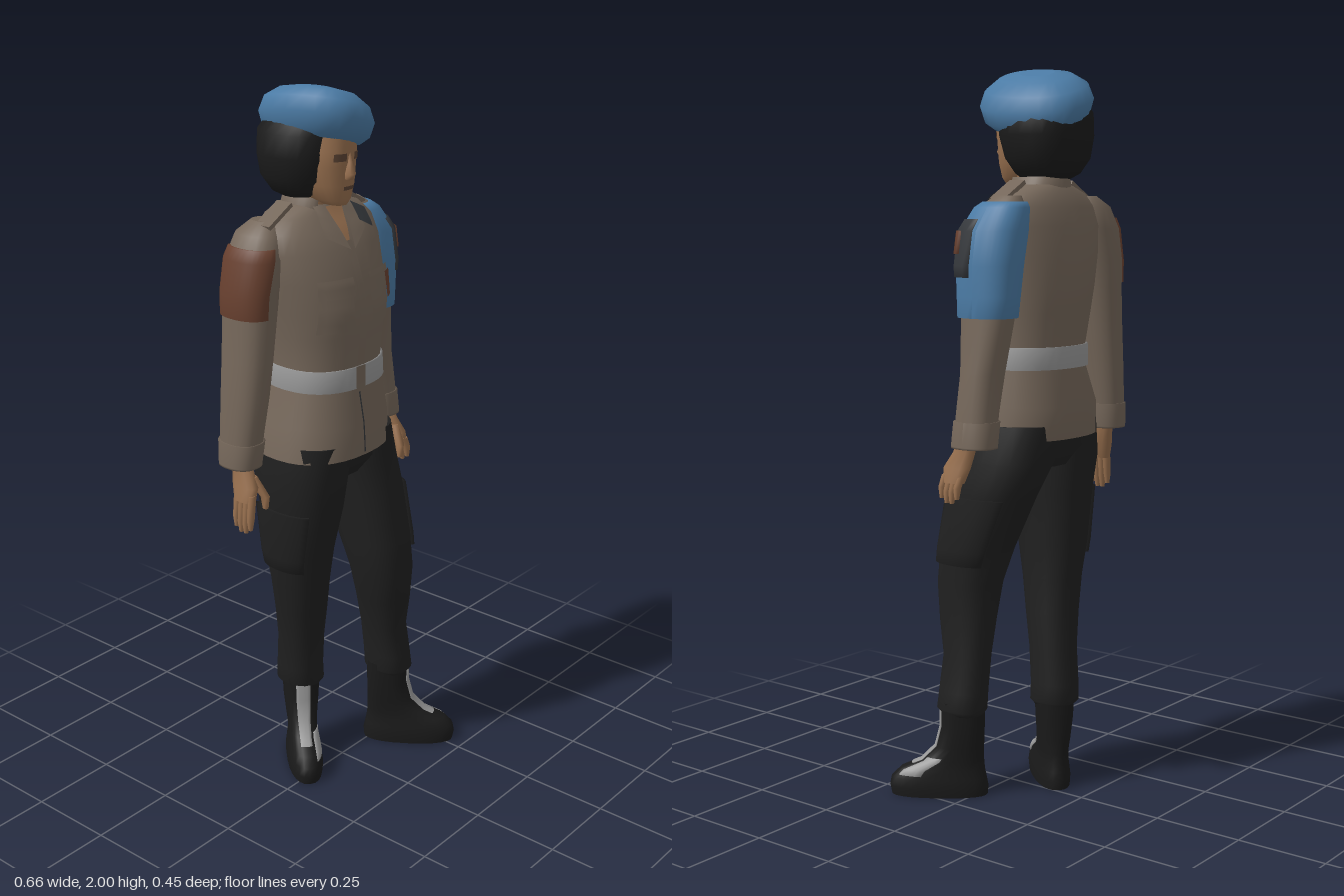
import * as THREE from 'three';

const mat = (name, color, side = THREE.FrontSide) => {
  const m = new THREE.MeshStandardMaterial({ color, side });
  m.name = name;
  return m;
};
const M = {
  khaki: mat('khaki cloth', 0x75675a, THREE.DoubleSide),
  black: mat('black cloth', 0x202020, THREE.DoubleSide),
  boot: mat('boot leather', 0x1a1a1a),
  hair: mat('black hair', 0x1b1b1b),
  blue: mat('blue cloth', 0x4b7ba5, THREE.DoubleSide),
  skin: mat('skin', 0x98704f, THREE.DoubleSide),
  shade: mat('dark skin', 0x5c4434, THREE.DoubleSide),
  grey: mat('light grey', 0x999999, THREE.DoubleSide),
  red: mat('rust red', 0x68402f, THREE.DoubleSide),
  slate: mat('dark slate', 0x35383c, THREE.DoubleSide),
};
const P = 0.85; // roundness of the cross-sections
const sp = v => Math.sign(v) * Math.abs(v) ** P;
const RAD = Math.PI / 180;

// A ring is [y, xMin, xMax, zMin, zMax]; rings run upwards.
function point([y, x0, x1, z0, z1], t, off = 0) {
  return [(x0 + x1) / 2 + ((x1 - x0) / 2 + off) * sp(Math.cos(t)), y,
    (z0 + z1) / 2 + ((z1 - z0) / 2 + off) * sp(Math.sin(t))];
}
function ringAt(rings, y) {
  let i = 0;
  while (i < rings.length - 2 && y > rings[i + 1][0]) i++;
  const a = rings[i], b = rings[i + 1];
  const k = Math.min(1, Math.max(0, (y - a[0]) / (b[0] - a[0])));
  return a.map((v, j) => (j ? v + (b[j] - v) * k : y));
}
function toMesh(name, material, pos, idx) {
  const g = new THREE.BufferGeometry();
  g.setAttribute('position', new THREE.Float32BufferAttribute(pos, 3));
  g.setIndex(idx);
  g.computeVertexNormals();
  const m = new THREE.Mesh(g, material);
  m.name = name;
  return m;
}
// Closed, capped skin through the rings
function loft(name, material, rings, seg = 22, warp = p => p) {
  const pos = [], idx = [], n = rings.length;
  const add = p => pos.push(...warp(p));
  const row = r => { for (let j = 0; j < seg; j++) add(point(r, j / seg * 2 * Math.PI)); };
  rings.forEach(row);
  for (let i = 0; i < n - 1; i++) for (let j = 0; j < seg; j++) {
    const a = i * seg + j, b = i * seg + (j + 1) % seg;
    idx.push(a, a + seg, b, b, a + seg, b + seg);
  }
  [rings[0], rings[n - 1]].forEach((r, top) => {
    const s = pos.length / 3;
    row(r);
    add([(r[1] + r[2]) / 2, r[0], (r[3] + r[4]) / 2]);
    for (let j = 0; j < seg; j++) {
      const a = s + j, b = s + (j + 1) % seg;
      idx.push(s + seg, top ? b : a, top ? a : b);
    }
  });
  return toMesh(name, material, pos, idx);
}
// Raised band following a loft between two heights and two angles (0 = left, 90 = front)
function band(name, material, rings, y0, y1, a0 = 0, a1 = 360, off = 0.006) {
  const full = a1 - a0 >= 360, seg = Math.ceil((a1 - a0) / 10);
  const ys = [y0, y0, ...rings.map(r => r[0]).filter(y => y > y0 && y < y1), y1, y1];
  const pos = [], idx = [], w = seg + 3;
  ys.forEach((y, i) => {
    for (let j = 0; j < w; j++) {
      const t = a0 + (a1 - a0) * Math.min(seg, Math.max(0, j - 1)) / seg;
      const rim = i === 0 || i === ys.length - 1 || (!full && (j === 0 || j === w - 1));
      pos.push(...point(ringAt(rings, y), t * RAD, rim ? -0.002 : off));
      if (i && j) {
        const b = (i - 1) * w + j, a = b - 1;
        idx.push(a, a + w, b, b, a + w, b + w);
      }
    }
  });
  return toMesh(name, material, pos, idx);
}
// Four-cornered plate laid on the front (bottom left, bottom right, top right, top left)
function plate(name, material, rings, q, off = 0.006) {
  const pos = [], idx = [], n = 6, mix = (a, b, k) => a + (b - a) * k;
  for (let i = 0; i <= n; i++) for (let j = 0; j <= n; j++) {
    const [x, y] = [0, 1].map(c => mix(mix(q[0][c], q[1][c], j / n), mix(q[3][c], q[2][c], j / n), i / n));
    const [, x0, x1, z0, z1] = ringAt(rings, y);
    const u = Math.min(0.97, Math.abs((x - (x0 + x1) / 2) / ((x1 - x0) / 2)));
    const s = Math.sqrt(1 - u ** (2 / P));
    pos.push(x, y, (z0 + z1) / 2 + (z1 - z0) / 2 * s ** P + off);
    if (i && j) {
      const d = i * (n + 1) + j, b = d - n - 1;
      idx.push(b - 1, b, d - 1, b, d, d - 1);
    }
  }
  return toMesh(name, material, pos, idx);
}
const rect = (x0, x1, y0, y1) => [[x0, y0], [x1, y0], [x1, y1], [x0, y1]];

const TORSO = [[1.01, -.21, .18, -.22, .1], [1.1, -.195, .175, -.228, .095], [1.2, -.163, .158, -.205, .077],
  [1.26, -.16, .155, -.205, .075], [1.35, -.172, .163, -.218, .083], [1.42, -.185, .17, -.225, .085],
  [1.5, -.2, .18, -.225, .07], [1.58, -.212, .19, -.215, .042], [1.63, -.2, .185, -.2, .012],
  [1.665, -.165, .15, -.185, -.015], [1.69, -.1, .075, -.165, -.03]];
const ARM = {
  right: [[1.01, -.328, -.235, -.18, -.07], [1.1, -.325, -.225, -.185, -.06], [1.2, -.318, -.21, -.188, -.05],
    [1.3, -.31, -.197, -.19, -.045], [1.4, -.3, -.18, -.195, -.045], [1.48, -.297, -.165, -.2, -.045],
    [1.57, -.282, -.14, -.2, -.04], [1.63, -.245, -.13, -.19, -.06], [1.66, -.2, -.145, -.16, -.09]],
  left: [[1.01, .225, .322, -.15, -.035], [1.1, .21, .315, -.15, -.04], [1.2, .19, .305, -.155, -.045],
    [1.34, .17, .287, -.175, -.03], [1.4, .165, .285, -.18, -.025], [1.48, .155, .285, -.185, -.02],
    [1.57, .14, .275, -.19, -.025], [1.63, .13, .238, -.18, -.05], [1.66, .14, .2, -.16, -.09]],
};
const LEG = {
  right: [[.235, -.1, -.005, -.17, -.06], [.25, -.115, .01, -.185, -.05], [.3, -.117, .006, -.182, -.05],
    [.4, -.125, 0, -.17, -.04], [.5, -.145, -.005, -.165, -.02], [.6, -.165, -.012, -.165, 0],
    [.7, -.185, -.01, -.175, .02], [.85, -.203, -.005, -.185, .06], [.95, -.213, .005, -.2, .075], [1.05, -.2, .005, -.2, .08]],
  left: [[.235, .125, .22, -.025, .095], [.25, .112, .232, -.035, .108], [.3, .11, .225, -.036, .105],
    [.4, .095, .21, -.035, .1], [.5, .07, .208, -.04, .12], [.6, .04, .205, -.045, .135],
    [.7, .025, .21, -.08, .125], [.85, .01, .212, -.15, .1], [.95, -.005, .203, -.2, .085], [1.05, -.01, .18, -.2, .08]],
};
const BOOT = [[0, -.05, .05, -.07, .2], [.025, -.052, .052, -.072, .205], [.05, -.049, .049, -.067, .2],
  [.075, -.045, .045, -.062, .175], [.1, -.042, .042, -.06, .115], [.14, -.046, .046, -.06, .075],
  [.2, -.052, .052, -.062, .06], [.27, -.055, .055, -.063, .06]];
const FACE = [[1.695, -.055, -.005, -.04, .032], [1.71, -.075, .012, -.08, .04], [1.75, -.095, .035, -.13, .044],
  [1.8, -.104, .044, -.15, .046], [1.84, -.104, .044, -.15, .05], [1.9, -.1, .04, -.15, .04]];
const HAIR = [[1.695, -.07, .03, -.15, -.06], [1.72, -.115, .06, -.19, -.025], [1.76, -.143, .085, -.215, .002],
  [1.82, -.153, .1, -.225, .016], [1.88, -.148, .098, -.225, .02], [1.92, -.12, .075, -.2, .01]];
const BERET = [[1.85, -.115, .075, -.2, .045], [1.87, -.13, .095, -.225, .07], [1.91, -.138, .105, -.237, .083],
  [1.95, -.125, .095, -.222, .068], [1.978, -.09, .06, -.18, .03], [1.988, -.05, .02, -.13, -.03]];

function makeHand(side) {
  const g = new THREE.Group();
  g.name = side + 'Hand';
  const s = side === 'left' ? 1 : -1, z = side === 'left' ? 0 : -.055, drop = side === 'left' ? 0 : -.035;
  const ring = (y, x0, x1, z0, z1) => [y, ...(s > 0 ? [x0, x1] : [-x1, -x0]), z0 + z, z1 + z];
  g.add(loft('palm', M.skin, [ring(.91, .28, .317, -.075, -.008), ring(.95, .268, .31, -.088, -.005),
    ring(.99, .26, .3, -.095, -.03), ring(1.04, .255, .3, -.105, -.055)], 12));
  for (let i = 0; i < 4; i++) { // four fingers
    const c = -.066 + i * .017, tip = .85 + Math.abs(i - 1.5) * .012 + drop;
    g.add(loft('finger', M.skin, [ring(tip, .305, .316, c - .002, c + .01), ring(tip + .03, .298, .32, c - .006, c + .013),
      ring(.93, .285, .31, c - .01, c + .01)], 8));
  }
  g.add(loft('thumb', M.skin, [ring(.885, .254, .268, -.008, .008), ring(.92, .25, .272, -.014, .012),
    ring(.975, .262, .29, -.055, -.02)], 8));
  return g;
}
function makeBoot(side, x, z, angle) {
  const g = new THREE.Group();
  g.name = side + 'Boot';
  g.add(loft('bootBody', M.boot, BOOT, 24), band('laces', M.grey, BOOT, .09, .25, 72, 108, .004),
    band('bootShine', M.grey, BOOT, .06, .11, 20, 60, .003));
  g.position.set(x, 0, z);
  g.rotation.y = angle * RAD;
  return g;
}

export function createModel() {
  const root = new THREE.Group();
  root.name = 'uniformedOfficer';
  const add = (...m) => root.add(...m);

  // Jacket
  add(loft('jacket', M.khaki, TORSO, 32), band('belt', M.grey, TORSO, 1.2, 1.26));
  add(plate('buckle', M.khaki, TORSO, rect(-.045, -.01, 1.195, 1.265), .012));
  add(plate('placket', M.khaki, TORSO, rect(-.035, -.008, 1.27, 1.6), .006));
  add(plate('placketEdge', M.slate, TORSO, rect(-.03, -.025, 1.02, 1.19), .004));
  for (const [a, b] of [[-.15, -.055], [.015, .11]]) {
    add(plate('chestPocket', M.khaki, TORSO, rect(a, b, 1.37, 1.51), .008));
    add(plate('pocketFlap', M.khaki, TORSO, rect(a - .004, b + .004, 1.465, 1.515), .014));
  }
  add(plate('pocketBadge', M.red, TORSO, rect(.085, .125, 1.43, 1.5), .018));
  add(plate('shirtOpening', M.skin, TORSO, [[-.03, 1.6], [-.015, 1.6], [.02, 1.685], [-.065, 1.685]], .006));
  add(plate('rightLapel', M.khaki, TORSO, [[-.1, 1.62], [-.03, 1.58], [-.05, 1.69], [-.08, 1.69]], .013));
  add(plate('leftLapel', M.khaki, TORSO, [[-.015, 1.58], [.06, 1.62], [.05, 1.69], [.02, 1.69]], .013));
  add(plate('leftCollarTab', M.slate, TORSO, [[.045, 1.64], [.09, 1.615], [.1, 1.66], [.05, 1.685]], .018));
  add(band('collar', M.khaki, [[1.66, -.1, .075, -.17, -.02], [1.71, -.085, .05, -.16, -.025]], 1.66, 1.71, 125, 415));

  // Sleeves, armband, badges and hands
  for (const side of ['right', 'left']) {
    const s = side === 'left' ? 1 : -1;
    add(loft(side + 'Sleeve', M.khaki, ARM[side]), band(side + 'Cuff', M.khaki, ARM[side], 1.005, 1.075, 0, 360, .005));
    add(makeHand(side));
    const tab = new THREE.Mesh(new THREE.BoxGeometry(.1, .012, .05), M.khaki);
    tab.name = side + 'ShoulderTab';
    tab.position.set(s * .15 - .01, 1.672, -.1);
    tab.rotation.z = -s * .5;
    add(tab);
  }
  add(band('rightArmPatch', M.red, ARM.right, 1.42, 1.6, 100, 230, .005));
  add(band('blueArmband', M.blue, ARM.left, 1.345, 1.645, 0, 360, .009));
  add(band('armbandPatch', M.slate, ARM.left, 1.45, 1.6, 5, 72, .014));
  add(band('armbandEmblem', M.red, ARM.left, 1.51, 1.57, 28, 50, .018));

  // Trousers and boots
  add(loft('trouserSeat', M.black, [[.93, -.14, .13, -.17, .04], [.98, -.2, .185, -.2, .075], [1.05, -.195, .17, -.2, .08]]));
  for (const side of ['right', 'left']) {
    add(loft(side + 'TrouserLeg', M.black, LEG[side]));
    const a = side === 'left' ? -45 : 135;
    add(band(side + 'CargoPocket', M.black, LEG[side], .66, .85, a, a + 90, .01));
  }
  add(makeBoot('right', -.055, -.115, -42), makeBoot('left', .17, .037, 35));

  // Head
  add(loft('neck', M.skin, [[1.6, -.085, .04, -.14, -.03], [1.67, -.08, .035, -.14, -.035], [1.76, -.08, .03, -.13, -.01]], 16));
  add(loft('face', M.skin, FACE, 24), loft('hair', M.hair, HAIR, 24));
  add(loft('nose', M.skin, [[1.765, -.043, -.017, .02, .058], [1.78, -.045, -.015, .02, .066],
    [1.81, -.037, -.023, .02, .057], [1.835, -.036, -.024, .02, .05]], 8));
  add(plate('rightEye', M.shade, FACE, rect(-.078, -.045, 1.815, 1.835), .003));
  add(plate('leftEye', M.shade, FACE, rect(-.015, .018, 1.815, 1.835), .003));
  add(plate('mouth', M.shade, FACE, rect(-.05, -.01, 1.738, 1.748), .004));
  add(loft('beret', M.blue, BERET, 24, ([x, y, z]) => [x, y - .3 * (x + .02) + .08 * (z + .08), z]));
  return root;
}
